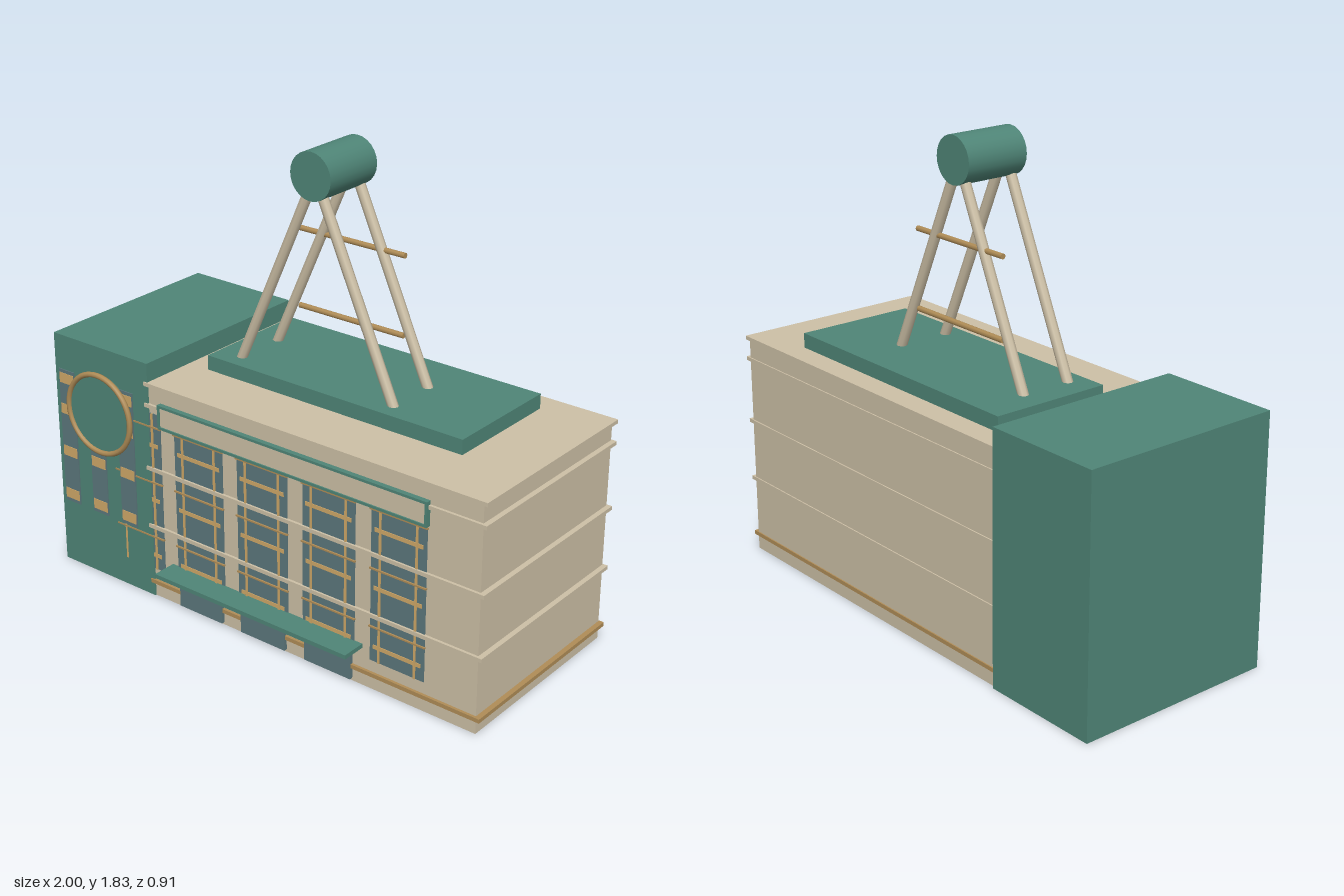
import * as THREE from 'three';

const mat = (name, color) => {
  const m = new THREE.MeshStandardMaterial({ color });
  m.name = name;
  return m;
};

export function createModel() {
  const model = new THREE.Group();
  model.name = 'building';
  const stone = mat('stone', 0xcdc0a6);
  const green = mat('green', 0x4f8577);
  const glass = mat('glass', 0x5c777c);
  const amber = mat('amber', 0xd0a868);
  const bronze = mat('bronze', 0xb08d57);

  const add = (name, geo, m, parent = model) => {
    const mesh = new THREE.Mesh(geo, m);
    mesh.name = name;
    parent.add(mesh);
    return mesh;
  };
  // Box given by its limits on each axis
  const box = (name, m, [x0, x1], [y0, y1], [z0, z1], parent) => {
    const mesh = add(name, new THREE.BoxGeometry(x1 - x0, y1 - y0, z1 - z0), m, parent);
    mesh.position.set((x0 + x1) / 2, (y0 + y1) / 2, (z0 + z1) / 2);
    return mesh;
  };
  const group = (name) => {
    const g = new THREE.Group();
    g.name = name;
    model.add(g);
    return g;
  };
  // Round rod between two points
  const rod = (name, m, a, b, r, sides) => {
    const dir = b.clone().sub(a);
    const mesh = add(name, new THREE.CylinderGeometry(r, r, dir.length(), sides), m);
    mesh.position.copy(a).add(b).multiplyScalar(0.5);
    mesh.quaternion.setFromUnitVectors(new THREE.Vector3(0, 1, 0), dir.normalize());
  };

  // Main masses
  box('mainHall', stone, [-0.53, 0.98], [0, 0.895], [-0.445, 0.355]);
  box('sideTower', green, [-1, -0.515], [0, 0.977], [-0.457, 0.361]);
  box('roofSlab', green, [-0.42, 0.735], [0.89, 0.96], [-0.355, 0.13]);

  // Ledges around the hall
  [0.305, 0.55, 0.81, 0.895].forEach((y) =>
    box('ledge', stone, [-0.53, 1], [y - 0.008, y + 0.007], [-0.45, 0.366]));
  box('baseLedge', bronze, [-0.53, 1], [0.056, 0.072], [-0.45, 0.366]);

  // Tall hall windows; the first is partly sunk in the tower
  for (let i = 0; i < 5; i++) {
    const x = -0.695 + i * 0.305;
    const w = group('hallWindow');
    box('pane', glass, [x, x + 0.235], [0.12, 0.78], [0.35, 0.358], w);
    [0.18, 0.418, 0.648].forEach((y) =>
      box('litBar', amber, [x + 0.015, x + 0.22], [y - 0.008, y + 0.008], [0.352, 0.3605], w));
    [0.26, 0.493, 0.725].forEach((y) =>
      box('glazingBar', bronze, [x - 0.004, x + 0.239], [y - 0.003, y + 0.003], [0.356, 0.364], w));
    [0.04, 0.195].forEach((dx) =>
      box('mullion', amber, [x + dx - 0.004, x + dx + 0.004], [0.12, 0.78], [0.355, 0.363], w));
  }

  // Framed panel above the windows
  box('panel', stone, [-0.45, 0.76], [0.745, 0.827], [0.35, 0.37]);
  [0.74, 0.827].forEach((y) =>
    box('panelFrame', green, [-0.457, 0.767], [y - 0.005, y + 0.005], [0.35, 0.375]));
  [-0.452, 0.762].forEach((x) =>
    box('panelFrame', green, [x - 0.005, x + 0.005], [0.74, 0.827], [0.35, 0.375]));

  // Entrance doors and canopy
  [-0.375, -0.07, 0.235].forEach((x) =>
    box('door', glass, [x, x + 0.211], [0.01, 0.16], [0.35, 0.369]));
  box('canopy', green, [-0.42, 0.49], [0.153, 0.17], [0.35, 0.455]);

  // Tower window strips
  [-0.94, -0.787, -0.633].forEach((x) => {
    const w = group('towerWindow');
    box('strip', glass, [x - 0.04, x + 0.04], [0.27, 0.835], [0.357, 0.365], w);
    [0.305, 0.49, 0.67, 0.8].forEach((y) =>
      box('litPane', amber, [x - 0.036, x + 0.036], [y - 0.021, y + 0.021], [0.359, 0.367], w));
  });

  // Round dial with its ring
  const dial = add('dial', new THREE.CylinderGeometry(0.16, 0.16, 0.02, 40), green);
  dial.rotation.x = Math.PI / 2;
  dial.position.set(-0.758, 0.708, 0.368);
  add('dialRing', new THREE.TorusGeometry(0.16, 0.011, 8, 48), bronze).position.set(-0.758, 0.708, 0.378);

  // Two A-frames carrying a drum
  const cx = 0.037, drumY = 1.735;
  for (const z of [0.057, -0.15])
    for (const side of [-1, 1])
      rod('frameLeg', stone, new THREE.Vector3(cx + side * 0.356, 0.945, z),
        new THREE.Vector3(cx, drumY, z), 0.02, 8);
  for (const y of [1.13, 1.435])
    rod('crossbar', bronze, new THREE.Vector3(-0.203, y, -0.15), new THREE.Vector3(0.277, y, -0.15), 0.011, 8);
  const drum = add('drum', new THREE.CylinderGeometry(0.09, 0.09, 0.262, 24), green);
  drum.rotation.x = Math.PI / 2;
  drum.position.set(cx - 0.002, drumY, -0.048);

  return model;
}
